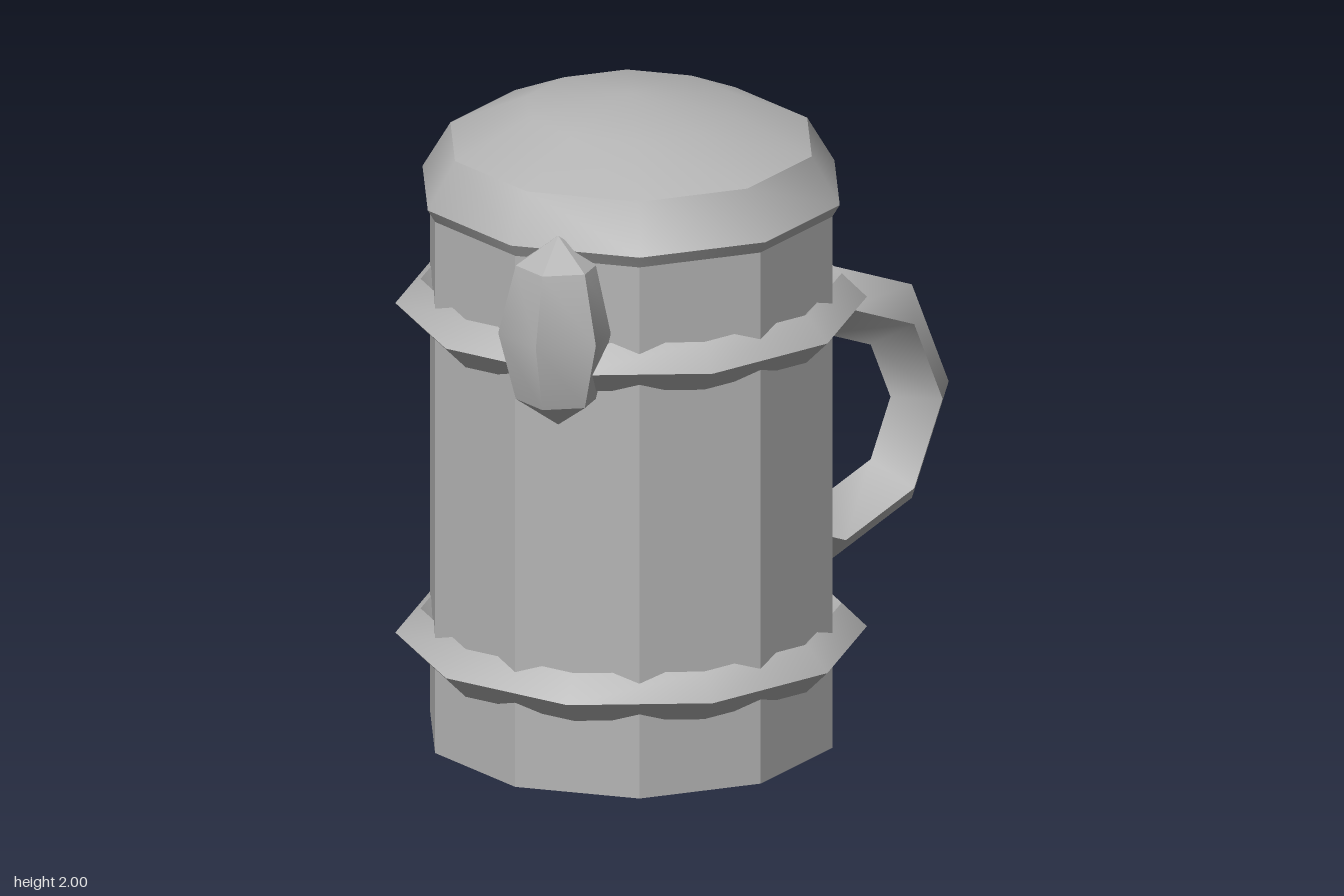
import * as THREE from 'three';
import { toCreasedNormals } from 'three/addons/utils/BufferGeometryUtils.js';

const CREASE = THREE.MathUtils.degToRad(33);
const AXIS_X = -0.25; // axis of the tankard

export function createModel() {
  const group = new THREE.Group();
  const grey = new THREE.MeshStandardMaterial({ color: 0xb4b4b4 });
  grey.name = 'grey';

  const add = (name, geometry, x, y, z = 0) => {
    const mesh = new THREE.Mesh(toCreasedNormals(geometry, CREASE), grey);
    mesh.name = name;
    mesh.position.set(x, y, z);
    group.add(mesh);
  };

  // Ten-sided barrel, its top hidden inside the lid
  add('body', new THREE.CylinderGeometry(0.62, 0.62, 1.7, 10), AXIS_X, 0.85);

  // Two diamond-section hoops, corners offset from the barrel's
  for (const [name, y] of [['lowerHoop', 0.313], ['upperHoop', 1.35]]) {
    add(name, new THREE.TorusGeometry(0.625, 0.075, 4, 10).rotateX(Math.PI / 2), AXIS_X, y);
  }

  // Flattened dome lid
  const lid = new THREE.SphereGeometry(0.643, 10, 6).rotateY(Math.PI / 2).scale(1, 0.29 / 0.643, 1);
  add('lid', lid, AXIS_X, 1.71);

  // Handle: six of eight segments, open ends buried in the barrel
  const handle = new THREE.TorusGeometry(0.365, 0.11, 4, 6, Math.PI * 1.5).rotateZ(-Math.PI * 0.75);
  add('handle', handle, 0.475, 0.83);

  // Tall six-sided drop on the upper hoop
  const drop = new THREE.SphereGeometry(0.18, 6, 4).rotateY(Math.PI / 2).scale(1, 0.297 / 0.18, 1);
  add('drop', drop, -0.77, 1.455, 0.31);

  return group;
}
